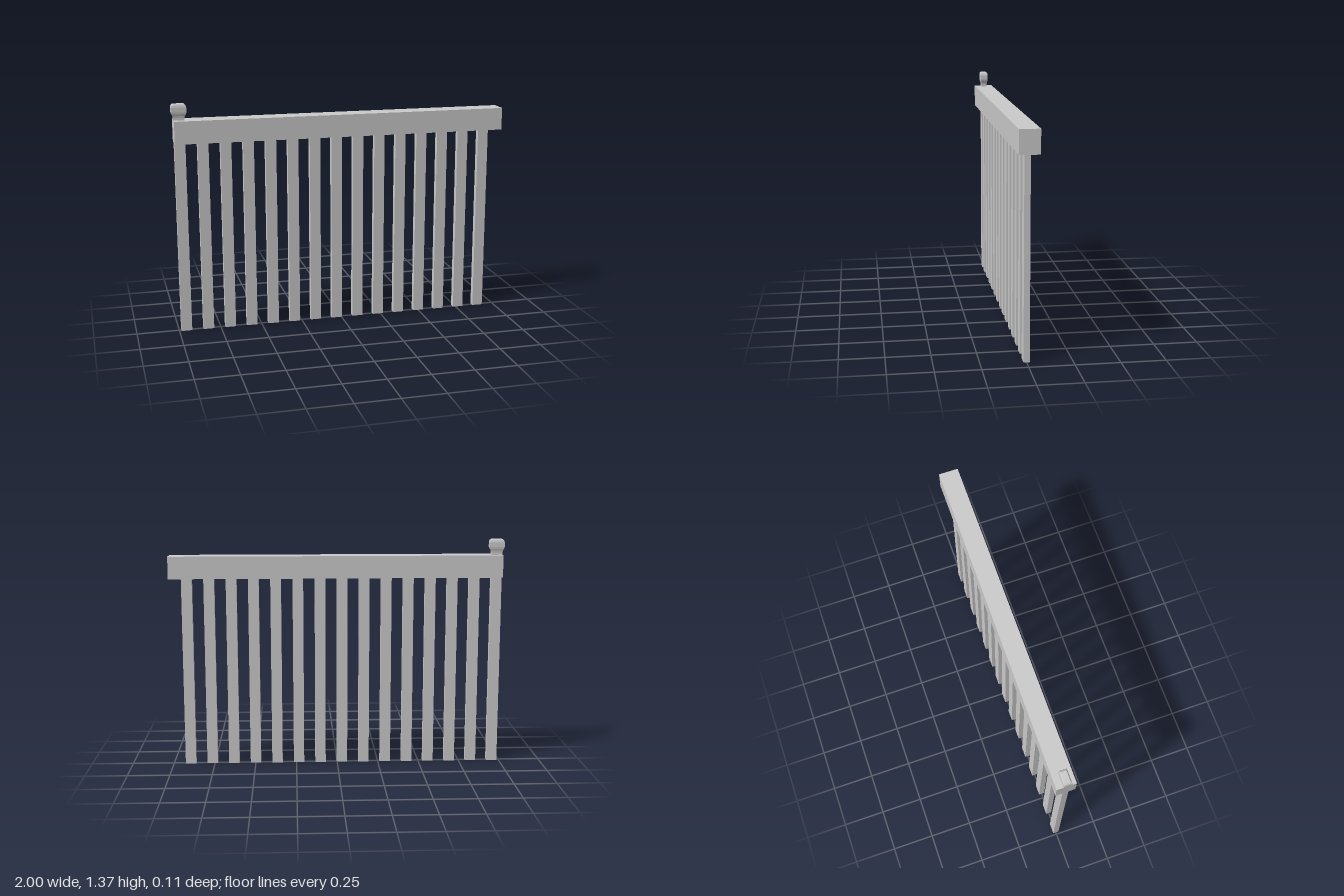
import * as THREE from 'three';

export function createModel() {
  const group = new THREE.Group();
  group.name = 'railing';
  const material = new THREE.MeshStandardMaterial({ color: 0xcccccc, flatShading: true });

  function add(name, geometry, x, y, z) {
    const mesh = new THREE.Mesh(geometry, material);
    mesh.name = name;
    mesh.position.set(x, y, z);
    group.add(mesh);
    return mesh;
  }

  const firstX = -0.956, spacing = 0.1323, count = 15;
  const railBottom = 1.14, railTop = 1.273;

  // Handrail
  add('handrail', new THREE.BoxGeometry(1.988, railTop - railBottom, 0.114), 0.006, (railBottom + railTop) / 2, 0);

  // Evenly spaced balusters
  const baluster = new THREE.BoxGeometry(0.064, railBottom, 0.034);
  for (let i = 0; i < count; i++) {
    add('baluster', baluster, firstX + i * spacing, railBottom / 2, 0);
  }

  // Finial: four-sided turned profile (half width, height), flattened in depth
  const profile = [
    [0, 1.25], [0.032, 1.25], [0.032, 1.287], [0.035, 1.298], [0.041, 1.309],
    [0.044, 1.32], [0.044, 1.347], [0.04, 1.359], [0.031, 1.367], [0, 1.367],
  ].map(([w, y]) => new THREE.Vector2(w * Math.SQRT2, y));
  const finial = new THREE.LatheGeometry(profile, 4, Math.PI / 4);
  finial.scale(1, 1, 0.535);
  add('finial', finial, firstX, 0, 0);

  return group;
}
